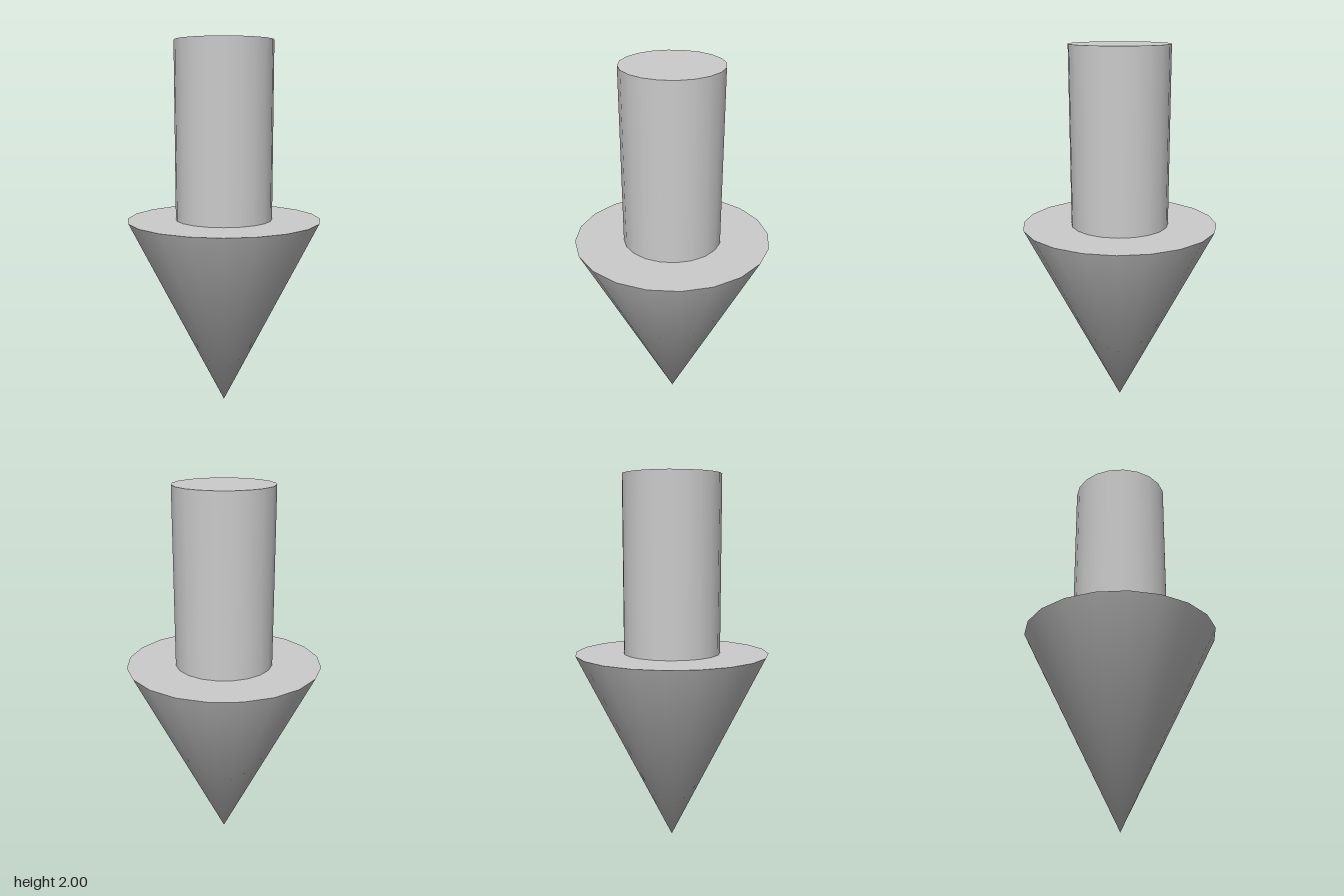
import * as THREE from 'three';

const SIDES = 20;
const HEAD_RADIUS = 0.526;
const HEAD_HEIGHT = 1.053;
const SHAFT_RADIUS = 0.263;
const TOTAL_HEIGHT = 2;

export function createModel() {
  const model = new THREE.Group();
  model.name = 'downArrow';
  const material = new THREE.MeshStandardMaterial({ color: 0xcccccc });

  const addPart = (name, geometry) => {
    const mesh = new THREE.Mesh(geometry, material);
    mesh.name = name;
    model.add(mesh);
  };

  // Arrow head: a cone standing on its tip, with a flat top
  const head = new THREE.CylinderGeometry(HEAD_RADIUS, 0, HEAD_HEIGHT, SIDES, 1);
  head.translate(0, HEAD_HEIGHT / 2, 0);
  // One shared smooth normal at the tip, pointing straight down
  const { position, normal } = head.attributes;
  for (let i = 0; i < position.count; i++) {
    if (position.getY(i) < 1e-4) normal.setXYZ(i, 0, -1, 0);
  }
  addPart('arrowHead', head);

  // Shaft: a round bar rising from the flat top of the head
  const shaftHeight = TOTAL_HEIGHT - HEAD_HEIGHT;
  const shaft = new THREE.CylinderGeometry(SHAFT_RADIUS, SHAFT_RADIUS, shaftHeight, SIDES);
  shaft.translate(0, HEAD_HEIGHT + shaftHeight / 2, 0);
  addPart('shaft', shaft);

  return model;
}
